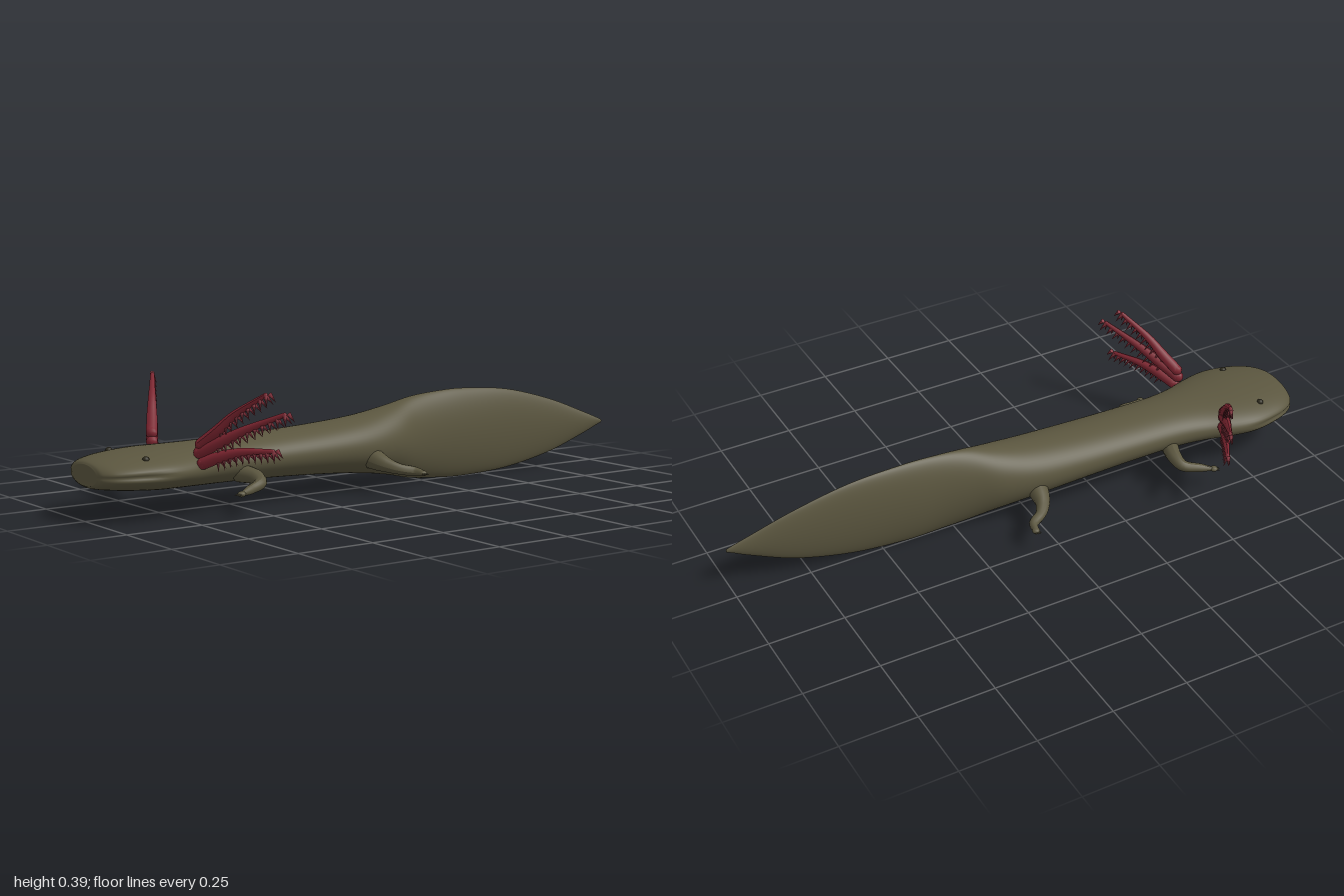
import * as THREE from 'three';

const V = (x, y, z) => new THREE.Vector3(x, y, z);
const mat = (name, color) => {
  const m = new THREE.MeshStandardMaterial({ color });
  m.name = name;
  return m;
};

// Body stations: z, centre x, half width, top y, bottom y
const STATIONS = [
  [1.0, 0, 0.075, 0.172, 0.108],
  [0.99, 0, 0.105, 0.181, 0.101],
  [0.96, 0, 0.138, 0.189, 0.095],
  [0.9, 0, 0.164, 0.198, 0.088],
  [0.81, 0, 0.178, 0.205, 0.081],
  [0.72, 0, 0.162, 0.207, 0.078],
  [0.64, 0, 0.136, 0.209, 0.076],
  [0.54, 0, 0.119, 0.212, 0.075],
  [0.38, 0, 0.115, 0.217, 0.073],
  [0.18, 0, 0.115, 0.227, 0.065],
  [0.02, 0, 0.111, 0.241, 0.053],
  [-0.1, 0, 0.094, 0.262, 0.036],
  [-0.2, 0, 0.065, 0.285, 0.015],
  [-0.3, 0.002, 0.048, 0.295, 0.006],
  [-0.42, 0.005, 0.04, 0.298, 0.002],
  [-0.6, 0.014, 0.029, 0.283, 0.014],
  [-0.78, 0.027, 0.019, 0.238, 0.052],
  [-0.92, 0.043, 0.011, 0.185, 0.105],
  [-0.98, 0.051, 0.006, 0.16, 0.132],
  [-1.0, 0.054, 0.003, 0.151, 0.14],
];

// Loft of the head, trunk and finned tail, with a shallow mouth crease
function bodyGeometry(rings = 114, sides = 64) {
  const spline = (f) => new THREE.CatmullRomCurve3(STATIONS.map(f), false, 'catmullrom', 0.5);
  const plan = spline((s) => V(s[1], s[2], s[0]));
  const side = spline((s) => V(s[3], s[4], s[0]));
  const pos = [], idx = [];
  for (let i = 0; i <= rings; i++) {
    const { x: cx, y: hw, z } = plan.getPoint(i / rings);
    const { x: top, y: bottom } = side.getPoint(i / rings);
    const mouth = 0.06 * THREE.MathUtils.smoothstep(z, 0.74, 0.9);
    const p = 1 + 0.25 * THREE.MathUtils.smoothstep(-z, 0.05, 0.3);
    for (let j = 0; j < sides; j++) {
      const a = (j / sides) * Math.PI * 2, c = Math.cos(a), s = Math.sin(a);
      const pinch = 1 - mouth * Math.exp(-((s / 0.13) ** 2));
      pos.push(cx + Math.sign(c) * Math.abs(c) ** p * hw * pinch,
        (top + bottom) / 2 + (s * (top - bottom)) / 2, z);
    }
  }
  for (let i = 0; i < rings; i++) {
    for (let j = 0; j < sides; j++) {
      const a = i * sides + j, b = i * sides + ((j + 1) % sides);
      idx.push(a, a + sides, b, b, a + sides, b + sides);
    }
  }
  const nose = pos.length / 3, last = rings * sides;
  pos.push(0, 0.14, 0.996, 0.055, 0.145, -1);
  for (let j = 0; j < sides; j++) {
    const k = (j + 1) % sides;
    idx.push(nose, j, k, nose + 1, last + k, last + j);
  }
  const g = new THREE.BufferGeometry();
  g.setAttribute('position', new THREE.Float32BufferAttribute(pos, 3));
  g.setIndex(idx);
  g.computeVertexNormals();
  return g;
}

// Tube whose radius follows a list of values along the path
function taperedTube(points, radii, steps, sides) {
  const curve = new THREE.CatmullRomCurve3(points);
  const g = new THREE.TubeGeometry(curve, steps, 1, sides);
  const p = g.attributes.position, v = V(0, 0, 0);
  for (let i = 0; i <= steps; i++) {
    const u = i / steps, c = curve.getPointAt(u);
    const f = u * (radii.length - 1), k = Math.min(Math.floor(f), radii.length - 2);
    const r = THREE.MathUtils.lerp(radii[k], radii[k + 1], f - k);
    for (let j = 0; j <= sides; j++) {
      const n = i * (sides + 1) + j;
      v.fromBufferAttribute(p, n).sub(c).multiplyScalar(r).add(c);
      p.setXYZ(n, v.x, v.y, v.z);
    }
  }
  g.computeVertexNormals();
  return { g, curve };
}

export function createModel() {
  const model = new THREE.Group();
  model.name = 'salamander';
  const skin = mat('olive skin', 0x5b563f);
  const red = mat('gill red', 0x7d2530);
  const pink = mat('filament red', 0x8a3540);
  const dark = mat('eye dark', 0x2e2b1e);

  const add = (parent, name, g, m, at) => {
    const mesh = new THREE.Mesh(g, m);
    mesh.name = name;
    if (at) mesh.position.copy(at);
    parent.add(mesh);
    return mesh;
  };
  // Cone with its base at one point, pointing along a direction
  const spike = (parent, name, from, dir, len, r, m) => {
    const d = dir.clone().normalize();
    const mesh = add(parent, name, new THREE.ConeGeometry(r, len, 6), m,
      from.clone().addScaledVector(d, len / 2));
    mesh.quaternion.setFromUnitVectors(V(0, 1, 0), d);
  };

  add(model, 'body', bodyGeometry(), skin);

  // Gill stalks as front-view x, y points; z sweeps back with x
  const gills = [
    { name: 'upperGill', path: [[0.145, 0.222], [0.19, 0.263], [0.24, 0.315], [0.328, 0.379]] },
    { name: 'middleGill', path: [[0.14, 0.197], [0.2, 0.232], [0.27, 0.272], [0.38, 0.324]] },
    { name: 'lowerGill', path: [[0.15, 0.165], [0.2, 0.188], [0.26, 0.206], [0.348, 0.214]] },
  ];
  const limbs = [
    { name: 'frontLeg', r: [0.03, 0.026, 0.021, 0.017, 0.014, 0.006], aim: [0.25, -0.1, 1],
      path: [[0.085, 0.112, 0.515], [0.15, 0.106, 0.498], [0.187, 0.094, 0.505], [0.208, 0.081, 0.555], [0.23, 0.075, 0.6]] },
    { name: 'hindLeg', r: [0.036, 0.03, 0.022, 0.017, 0.016, 0.01], aim: [1, -0.1, 0.1],
      path: [[0.08, 0.112, 0.015], [0.14, 0.096, 0.002], [0.178, 0.084, -0.025], [0.203, 0.076, -0.065], [0.235, 0.073, -0.075]] },
  ];

  for (const s of [1, -1]) {
    const label = s > 0 ? 'left' : 'right';
    const group = (name) => {
      const g = new THREE.Group();
      g.name = label + name[0].toUpperCase() + name.slice(1);
      model.add(g);
      return g;
    };

    // Eye
    add(model, label + 'Eye', new THREE.SphereGeometry(0.011, 16, 12), dark, V(s * 0.112, 0.186, 0.856));

    // Feathery gills: a stalk with two rows of hanging filaments
    for (const { name, path } of gills) {
      const g = group(name);
      const pts = path.map(([x, y]) => V(s * x, y, 0.69 - 0.6 * (x - 0.14)));
      const { g: stalk, curve } = taperedTube(pts, [0.019, 0.018, 0.014, 0.01, 0.007], 16, 8);
      add(g, 'stalk', stalk, red);
      add(g, 'stalkRoot', new THREE.SphereGeometry(0.0188, 10, 8), red, pts[0]);
      add(g, 'stalkTip', new THREE.SphereGeometry(0.007, 8, 6), red, pts[3]);
      for (let i = 0; i < 10; i++) {
        const u = 0.22 + (0.78 * i) / 9, from = curve.getPointAt(u);
        for (const dz of [-0.6, 0.1]) {
          spike(g, 'filament', from, V(s * 0.3, -0.85, dz), 0.046 - 0.008 * u, 0.0075, pink);
        }
      }
      spike(g, 'tipFilament', pts[3].clone().add(V(s * 0.012, 0.004, -0.006)),
        V(s * 0.6, -0.75, -0.3), 0.032, 0.008, pink);
    }

    // Legs with short toes
    for (const { name, path, r, aim } of limbs) {
      const g = group(name);
      const pts = path.map(([x, y, z]) => V(s * x, y, z));
      add(g, 'limb', taperedTube(pts, r, 28, 12).g, skin);
      const end = pts[pts.length - 1];
      const foot = add(g, 'foot', new THREE.SphereGeometry(0.013, 12, 8), skin, end);
      foot.scale.y = 0.7;
      for (const t of [-0.6, -0.2, 0.2, 0.6]) {
        const dir = V(...aim).applyAxisAngle(V(0, 1, 0), t);
        dir.x *= s;
        spike(g, 'toe', end, dir, 0.022, 0.006, skin);
      }
    }
  }
  return model;
}
